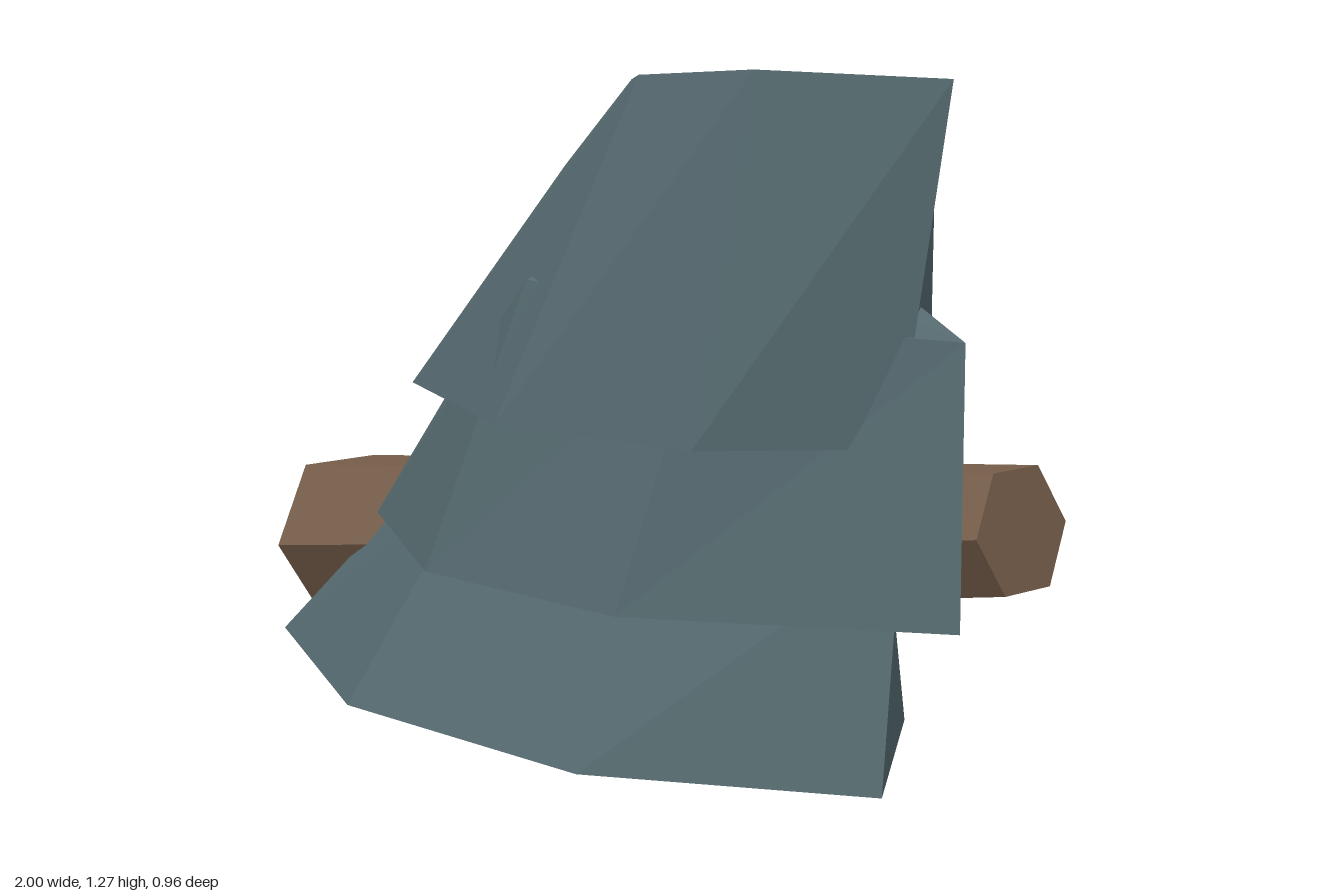
import * as THREE from 'three';

const foliageMat = new THREE.MeshStandardMaterial({ color: 0x566b70 });
const barkMat = new THREE.MeshStandardMaterial({ color: 0x775f4b });
foliageMat.name = 'blue green foliage';
barkMat.name = 'brown bark';
foliageMat.flatShading = barkMat.flatShading = true;

// A closed faceted tier lofted between two rings of [x, y, z] corners
// (counter-clockwise from above); both caps fan out from the last corner.
function tier(name, bottom, top) {
  const n = bottom.length, pos = [];
  const tri = (a, b, c) => pos.push(...a, ...b, ...c);
  for (let i = 0; i < n; i++) {
    const j = (i + 1) % n;
    tri(bottom[i], bottom[j], top[j]);
    tri(bottom[i], top[j], top[i]);
  }
  for (let i = 0; i < n - 2; i++) {
    tri(top[n - 1], top[i], top[i + 1]);
    tri(bottom[n - 1], bottom[i + 1], bottom[i]);
  }
  const geo = new THREE.BufferGeometry();
  geo.setAttribute('position', new THREE.Float32BufferAttribute(pos, 3));
  geo.computeVertexNormals();
  const mesh = new THREE.Mesh(geo, foliageMat);
  mesh.name = name;
  return mesh;
}

// Flat ring at height y from [x, z] corners
const ring = (y, pts) => pts.map(([x, z]) => [x, y, z]);

export function createModel() {
  const group = new THREE.Group();
  group.name = 'fallenTree';

  // Foliage tiers, each overhanging the one below
  group.add(tier('lowerFoliage',
    ring(0, [[-0.88, 0.24], [-0.23, 0.478], [0.43, 0.4], [0.875, 0.06], [0.525, -0.33], [-0.37, -0.48], [-0.88, -0.19]]),
    ring(0.45, [[-0.47, 0.06], [-0.1, 0.26], [0.49, 0.2], [0.84, -0.01], [0.53, -0.26], [-0.2, -0.3], [-0.46, -0.1]])));

  group.add(tier('middleFoliage',
    ring(0.31, [[-0.55, 0.2], [0.01, 0.447], [0.53, 0.39], [1.0, 0.0], [0.56, -0.37], [0.07, -0.4], [-0.62, -0.19]]),
    [[-0.2, 0.81, 0.1], [0.19, 0.88, 0.335], [0.62, 0.84, 0.26], [0.96, 0.81, -0.04],
      [0.55, 0.88, -0.23], [0.1, 0.93, -0.23], [-0.06, 0.95, -0.24]]));

  group.add(tier('upperFoliage',
    ring(0.62, [[-0.33, 0.25], [0.22, 0.43], [0.67, 0.33], [0.87, 0.03], [0.6, -0.31], [0.07, -0.39], [-0.35, -0.13]]),
    [[0.07, 1.08, 0.155], [0.4, 1.26, 0.235], [0.7, 1.275, 0.22], [0.94, 1.26, -0.02],
      [0.7, 1.08, -0.215], [0.26, 1.03, -0.175], [-0.09, 1.235, -0.13]]));

  // Tapered six-sided trunk running through the foliage, flat side up
  const a = new THREE.Vector3(-0.965, 0.174, 0.018);
  const b = new THREE.Vector3(0.98, 0.47, -0.168);
  const d = b.clone().sub(a);
  const trunk = new THREE.Mesh(new THREE.CylinderGeometry(0.125, 0.198, d.length(), 6), barkMat);
  trunk.name = 'trunk';
  trunk.position.copy(a).add(b).multiplyScalar(0.5);
  trunk.rotation.set(0, Math.atan2(-d.z, d.x), Math.atan2(d.y, Math.hypot(d.x, d.z)) - Math.PI / 2, 'YZX');
  group.add(trunk);

  return group;
}
